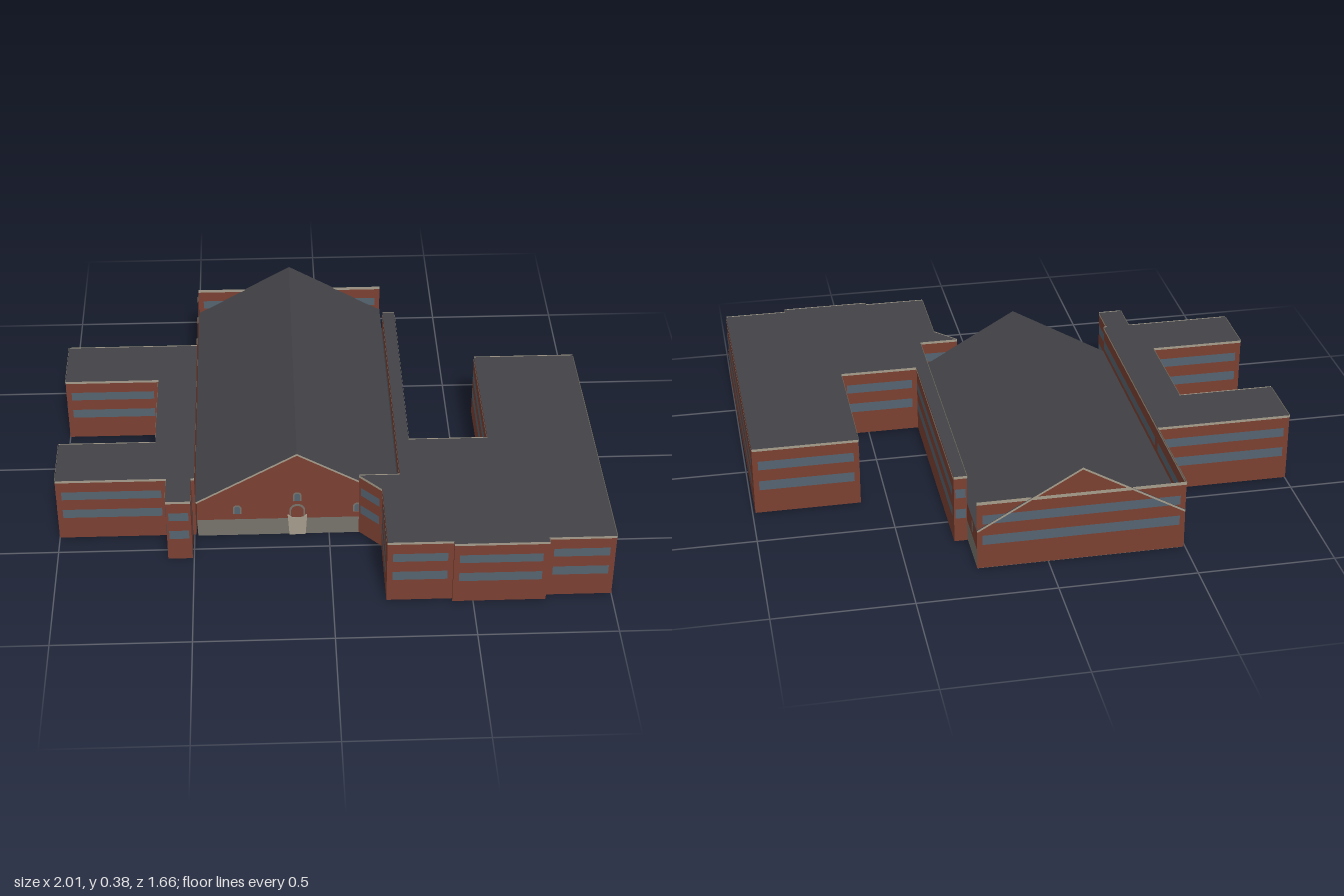
import * as THREE from 'three';

const paint = (name, color, side = THREE.DoubleSide) => {
  const m = new THREE.MeshStandardMaterial({ color, side });
  m.name = name;
  return m;
};

export function createModel() {
  const brick = paint('brick', 0x7a4031);
  const slate = paint('dark roofing', 0x424247);
  const glass = paint('window band', 0x55636f);
  const stone = paint('stone base', 0x76736a);
  const pale = paint('pale stone', 0xa59d8c);
  const TOP = 0.27;

  const model = new THREE.Group();
  model.name = 'schoolBuilding';
  const section = (name) => {
    const g = new THREE.Group();
    g.name = name;
    model.add(g);
    return g;
  };
  const add = (parent, name, geometry, material) => {
    const mesh = new THREE.Mesh(geometry, material);
    mesh.name = name;
    parent.add(mesh);
    return mesh;
  };

  // upright panel from plan point a to b, pushed outward by off
  const panel = (parent, name, a, b, y0, y1, off, material, inset = 0) => {
    const dx = b[0] - a[0], dz = b[1] - a[1], len = Math.hypot(dx, dz);
    const nx = -dz / len, nz = dx / len;
    const m = add(parent, name, new THREE.PlaneGeometry(len - 2 * inset, y1 - y0), material);
    m.position.set((a[0] + b[0]) / 2 + nx * off, (y0 + y1) / 2, (a[1] + b[1]) / 2 + nz * off);
    m.rotation.y = Math.atan2(nx, nz);
  };

  // two-storey brick wall with window bands and a pale coping
  const bandedWall = (parent, a, b, bothSides = false) => {
    const len = Math.hypot(b[0] - a[0], b[1] - a[1]);
    panel(parent, 'brickWall', a, b, 0.004, TOP, 0, brick);
    for (const s of bothSides ? [1, -1] : [1]) {
      panel(parent, 'coping', a, b, TOP - 0.008, TOP + 0.002, 0.002 * s, pale);
      if (len < 0.03) continue;
      const inset = Math.min(0.02, len * 0.1);
      panel(parent, 'lowerWindowBand', a, b, 0.1, 0.138, 0.003 * s, glass, inset);
      panel(parent, 'upperWindowBand', a, b, 0.184, 0.22, 0.003 * s, glass, inset);
    }
  };

  // flat-roofed wing on a plan outline
  const wing = (name, outline) => {
    const g = section(name);
    outline.forEach((p, i) => bandedWall(g, p, outline[(i + 1) % outline.length]));
    const shape = new THREE.Shape(outline.map(([x, z]) => new THREE.Vector2(x, -z)));
    const roof = add(g, 'flatRoof', new THREE.ShapeGeometry(shape), slate);
    roof.rotation.x = -Math.PI / 2;
    roof.position.y = TOP;
  };

  wing('leftWing', [
    [0.11, 0.425], [0.19, 0.51], [0.19, 0.81], [0.425, 0.81], [0.425, 0.825],
    [0.76, 0.825], [0.76, 0.802], [1, 0.802], [0.99, -0.31], [0.6, -0.31],
    [0.6, 0.215], [0.305, 0.215], [0.305, -0.64], [0.258, -0.64], [0.258, 0.425],
  ]);
  wing('rightWing', [
    [-1, 0.2], [-1, 0.42], [-0.595, 0.42], [-0.595, 0.555], [-0.505, 0.555],
    [-0.505, 0.42], [-0.493, 0.42], [-0.493, -0.43], [-1, -0.43], [-1, -0.2],
    [-0.64, -0.2], [-0.64, 0.2],
  ]);

  // screen wall around the rear of the hall
  const rear = section('rearScreenWall');
  bandedWall(rear, [0.257, -0.83], [-0.493, -0.83], true);
  bandedWall(rear, [-0.493, -0.83], [-0.493, -0.43], true);

  // gabled hall
  const hall = section('hall');
  const L = -0.487, R = 0.252, F = 0.42, B = -0.822, MID = -0.1175, EAVE = 0.16, RIDGE = 0.375;
  const gable = new THREE.Shape([[L, 0], [R, 0], [R, EAVE], [MID, RIDGE - 0.003], [L, EAVE]]
    .map(([x, y]) => new THREE.Vector2(x, y)));
  for (const z of [F, B]) add(hall, 'gableWall', new THREE.ShapeGeometry(gable), brick).position.z = z;
  panel(hall, 'sideWall', [R, F], [R, B], 0, EAVE, 0, brick);
  panel(hall, 'sideWall', [L, B], [L, F], 0, EAVE, 0, brick);
  panel(hall, 'stoneBase', [L, F], [R, F], 0, 0.075, 0.003, stone);
  panel(hall, 'stoneBase', [R, F], [R, B], 0, 0.075, 0.003, stone);
  panel(hall, 'stoneBase', [R, B], [L, B], 0, 0.075, 0.003, stone);
  panel(hall, 'stoneBase', [L, B], [L, F], 0, 0.075, 0.003, stone);

  // pitched roof and pale rake edges
  const ridgeRun = 1.26, half = 0.3755;
  const slope = Math.atan2(RIDGE - EAVE, half), slopeLen = Math.hypot(half, RIDGE - EAVE);
  for (const s of [-1, 1]) {
    const pitch = new THREE.Group();
    pitch.name = 'roofPitch';
    pitch.position.set(MID + s * half / 2, (RIDGE + EAVE) / 2, -0.205);
    pitch.rotation.z = -s * slope;
    hall.add(pitch);
    add(pitch, 'roofSlope', new THREE.PlaneGeometry(slopeLen, ridgeRun).rotateX(-Math.PI / 2), slate);
    for (const e of [-1, 1]) {
      add(pitch, 'rakeEdge', new THREE.PlaneGeometry(slopeLen, 0.007), pale)
        .position.set(0, -0.0035, e * ridgeRun / 2);
    }
  }

  // arched openings, drawn from their sill
  const arch = (w, h) => {
    const s = new THREE.Shape();
    s.moveTo(-w / 2, 0);
    s.lineTo(w / 2, 0);
    s.lineTo(w / 2, h - w / 2);
    s.absarc(0, h - w / 2, w / 2, 0, Math.PI, false);
    s.closePath();
    return new THREE.ShapeGeometry(s, 8);
  };
  const archedWindow = (x, y, z, turn) => {
    const g = new THREE.Group();
    g.name = 'archedWindow';
    g.position.set(x, y, z);
    g.rotation.y = turn;
    add(g, 'windowFrame', arch(0.032, 0.042), stone).position.z = 0.004;
    const pane = add(g, 'windowPane', arch(0.02, 0.033), glass);
    pane.position.set(0, 0.003, 0.006);
    hall.add(g);
  };
  for (const [z, turn] of [[F, 0], [B, Math.PI]]) {
    archedWindow(MID, 0.155, z, turn);
    for (const s of [-1, 1]) archedWindow(MID + s * 0.222, 0.1, z, turn);
  }
  for (let i = 0; i < 6; i++) {
    const z = -0.735 + i * 0.212;
    archedWindow(R, 0.1, z, Math.PI / 2);
    archedWindow(L, 0.1, z, -Math.PI / 2);
  }

  // entrance
  add(hall, 'doorFrame', arch(0.058, 0.142), stone).position.set(MID, 0, F + 0.004);
  add(hall, 'door', arch(0.046, 0.134), brick).position.set(MID, 0, F + 0.006);
  const porch = new THREE.Shape([[-0.03, 0], [0.03, 0], [0.036, 0.09], [0.018, 0.082], [-0.018, 0.082], [-0.036, 0.09]]
    .map(([x, y]) => new THREE.Vector2(x, y)));
  add(hall, 'entranceSurround', new THREE.ExtrudeGeometry(porch, { depth: 0.008, bevelEnabled: false }), pale)
    .position.set(MID, 0, F);

  return model;
}
